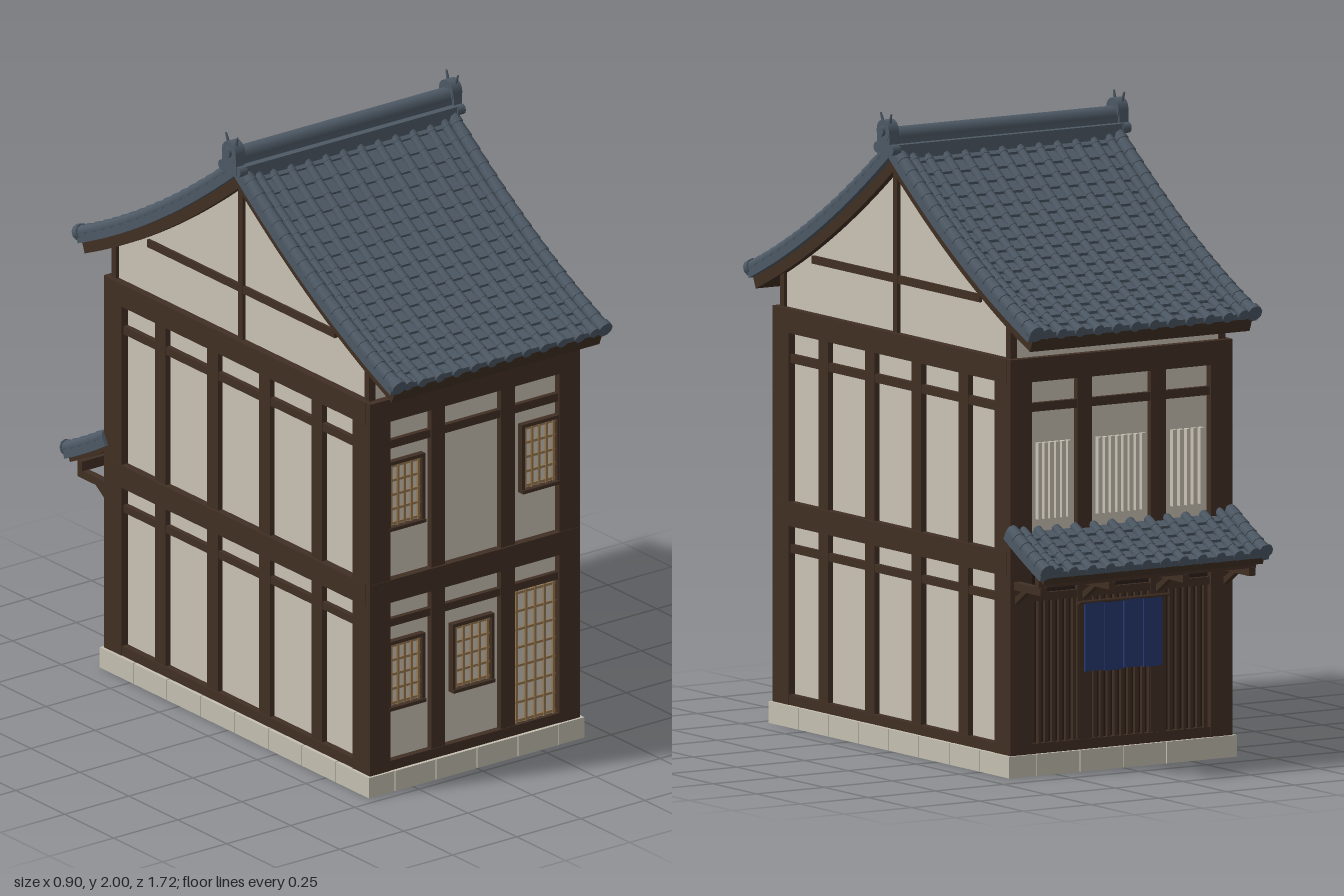
import * as THREE from 'three';
import { mergeGeometries } from 'three/addons/utils/BufferGeometryUtils.js';

const mat = (name, color) => {
  const m = new THREE.MeshStandardMaterial({ color });
  m.name = name;
  return m;
};
const plaster = mat('plaster', 0xc9c3b4), timber = mat('dark timber', 0x412f24), tile = mat('slate tile', 0x4d5965);
const lath = mat('tan lath', 0x97774f), stone = mat('stone', 0xc4bfb0), cloth = mat('indigo cloth', 0x26376e);
const paper = mat('paper', 0xcec8b9), boards = mat('shaded boards', 0x2c2019);

// box geometry from its limits
const bx = (x0, x1, y0, y1, z0, z1) => new THREE.BoxGeometry(x1 - x0, y1 - y0, Math.abs(z1 - z0))
  .translate((x0 + x1) / 2, (y0 + y1) / 2, (z0 + z1) / 2);
function add(parent, name, material, geos) {
  const list = [].concat(geos).map(g => (g.index ? g.toNonIndexed() : g));
  const m = new THREE.Mesh(list.length > 1 ? mergeGeometries(list) : list[0], material);
  m.name = name;
  parent.add(m);
  return m;
}
// outline in the z-y plane, extruded across x and centred
function across(points, width) {
  const g = new THREE.ExtrudeGeometry(new THREE.Shape(points), { depth: width, bevelEnabled: false });
  return g.translate(0, 0, -width / 2).rotateY(-Math.PI / 2);
}
// cylinder between two points
function rod(a, b, ra, rb, sides = 8) {
  const d = b.clone().sub(a);
  const g = new THREE.CylinderGeometry(rb, ra, d.length(), sides);
  g.applyQuaternion(new THREE.Quaternion().setFromUnitVectors(new THREE.Vector3(0, 1, 0), d.normalize()));
  return g.translate((a.x + b.x) / 2, (a.y + b.y) / 2, (a.z + b.z) / 2);
}
// sagging roof line; at(t, d) gives a point d above the deck
function roofLine(z0, z1, y0, m, b) {
  return (t, d) => {
    const w = t * (z1 - z0), s = m + 2 * b * w, n = Math.hypot(s, 1);
    return new THREE.Vector2(z0 + w - s / n * d, y0 + m * w + b * w * w + d / n);
  };
}
const range = (n, f) => Array.from({ length: n }, (_, i) => f(i));

// one tiled slope: timber deck, stepped pans, rows of round cover tiles
function roofSlope(at, rows, deckDepth) {
  const g = new THREE.Group();
  const ts = range(rows + 1, i => i / rows);
  add(g, 'roofDeck', timber, across([...ts.map(t => at(t, 0.004)), ...ts.slice().reverse().map(t => at(t, -deckDepth))].reverse(), 0.81));
  const top = [];
  for (let i = 0; i < rows; i++) top.push(at(i / rows, 0.014), at((i + 1) / rows - 0.001, 0.024));
  add(g, 'panTiles', tile, across([...top, ...ts.slice().reverse().map(t => at(t, 0))].reverse(), 0.825));
  const rolls = [];
  const roll = (x, r, d) => {
    for (let i = 0; i < rows; i++) {
      const a = at(i / rows, d), b = at((i + 1) / rows + (i === rows - 1 ? 0.008 : 0), d);
      rolls.push(rod(new THREE.Vector3(x, a.y, a.x), new THREE.Vector3(x, b.y, b.x), r * 0.86, r));
    }
    // round end cap at the eave
    const a = at(0.985, d), b = at(1.012, d);
    rolls.push(rod(new THREE.Vector3(x, a.y, a.x), new THREE.Vector3(x, b.y, b.x), r * 1.15, r * 1.15, 10));
  };
  range(10, i => roll(-0.306 + i * 0.068, 0.016, 0.022));
  for (const s of [-1, 1]) {
    roll(s * 0.362, 0.016, 0.026);
    roll(s * 0.402, 0.023, 0.028);
    rolls.push(across([...ts.map(t => at(t, 0.028)), ...ts.slice().reverse().map(t => at(t, -0.004))].reverse(), 0.02).translate(s * 0.412, 0, 0));
  }
  add(g, 'coverTiles', tile, rolls);
  return g;
}
// framed lattice panel on the front wall
function lattice(parent, name, x0, x1, y0, y1, cols, rows, frame) {
  const g = new THREE.Group();
  g.name = name;
  add(g, 'paperPane', paper, bx(x0, x1, y0, y1, 0.655, 0.661));
  const bars = [];
  for (let i = 0; i <= cols; i++) {
    const x = x0 + 0.008 + (x1 - x0 - 0.016) * i / cols;
    bars.push(bx(x - 0.004, x + 0.004, y0, y1, 0.66, 0.668));
  }
  for (let j = 0; j <= rows; j++) {
    const y = y0 + 0.008 + (y1 - y0 - 0.016) * j / rows;
    bars.push(bx(x0, x1, y - 0.004, y + 0.004, 0.66, 0.666));
  }
  add(g, 'latticeBars', lath, bars);
  if (frame) {
    const f = 0.011;
    add(g, 'frame', timber, [bx(x0 - f, x0, y0, y1, 0.65, 0.676), bx(x1, x1 + f, y0, y1, 0.65, 0.676),
      bx(x0 - f, x1 + f, y1, y1 + f, 0.65, 0.676), bx(x0 - f, x1 + f, y0 - f, y0, 0.65, 0.682)]);
  }
  parent.add(g);
}

export function createModel() {
  const house = new THREE.Group();
  house.name = 'townhouse';
  house.position.z = 0.03;
  const roofAt = roofLine(0, 0.8, 1.865, -0.78, 0.226);

  // stone plinth: open ring of blocks around a recessed core
  const blocks = [], core = [];
  for (const s of [-1, 1]) {
    range(8, i => blocks.push(bx(s * 0.37 - 0.05, s * 0.37 + 0.05, 0, 0.068, -0.69 + i * 0.1725 + 0.0015, -0.69 + (i + 1) * 0.1725 - 0.0015)));
    range(4, i => blocks.push(bx(-0.32 + i * 0.16 + 0.0015, -0.32 + (i + 1) * 0.16 - 0.0015, 0, 0.068, s * 0.64 - 0.05, s * 0.64 + 0.05)));
    core.push(bx(s * 0.37 - 0.045, s * 0.37 + 0.045, 0.004, 0.064, -0.685, 0.685), bx(-0.33, 0.33, 0.004, 0.064, s * 0.64 - 0.045, s * 0.64 + 0.045));
  }
  add(house, 'plinthBlocks', stone, blocks);
  add(house, 'plinthCore', stone, core);

  // floor and the joist seen from beneath
  add(house, 'floor', timber, bx(-0.38, 0.38, 0.085, 0.105, -0.65, 0.65));
  add(house, 'floorJoist', lath, bx(-0.06, 0.02, 0.05, 0.09, -0.6, 0.6));

  // plaster walls with curved gables
  const line = [];
  for (let i = 16; i >= 0; i--) line.push(roofAt(i / 20, -0.012));
  const right = [new THREE.Vector2(0.655, 0.1), new THREE.Vector2(0.655, roofAt(0.82, -0.012).y), ...line.filter(p => p.x < 0.65 && p.x > 0.01)];
  const left = right.map(p => new THREE.Vector2(-p.x, p.y)).reverse();
  add(house, 'plasterWalls', plaster, across([...right, ...left], 0.77));

  // timber frame: corners, sill, middle and top bands, thin rails
  const frame = [];
  for (const sx of [-1, 1]) for (const sz of [-1, 1])
    frame.push(bx(sx * 0.37 - 0.04, sx * 0.37 + 0.04, 0.068, 1.31, sz * 0.635 - 0.045, sz * 0.635 + 0.045));
  const bands = [[0.068, 0.1, 0.004], [0.63, 0.705, 0], [1.235, 1.31, 0], [0.545, 0.57, 0.01], [1.14, 1.167, 0.01]];
  for (const [y0, y1, inset] of bands) for (const s of [-1, 1]) {
    const bandX = s * (0.412 - inset), bandZ = s * (0.682 - inset);
    frame.push(bx(bandX - (s > 0 ? 0.05 : 0), bandX + (s > 0 ? 0 : 0.05), y0, y1, -0.66, 0.66));
    frame.push(bx(-0.405, 0.405, y0, y1, bandZ - s * 0.05, bandZ));
  }
  for (const s of [-1, 1]) {
    for (const z of [-0.4, -0.133, 0.133, 0.4]) frame.push(bx(s * 0.385 - 0.019, s * 0.385 + 0.019, 0.08, 1.25, z - 0.027, z + 0.027));
    for (const x of [-0.14, 0.132]) frame.push(bx(x - 0.027, x + 0.027, 0.08, 1.25, s * 0.65 - 0.025, s * 0.65 + 0.025));
    // gable: king post, tie and short corner struts
    frame.push(bx(s * 0.385 - 0.012, s * 0.385 + 0.012, 1.3, 1.83, -0.012, 0.012));
    frame.push(bx(s * 0.385 - 0.01, s * 0.385 + 0.01, 1.465, 1.49, -0.48, 0.48));
    for (const z of [-0.647, 0.647]) frame.push(bx(s * 0.385 - 0.012, s * 0.385 + 0.012, 1.3, 1.425, z - 0.012, z + 0.012));
  }
  add(house, 'timberFrame', timber, frame);

  // main roof, both slopes
  for (const turn of [0, Math.PI]) {
    const slope = roofSlope(roofAt, 18, 0.04);
    slope.name = turn ? 'backRoof' : 'frontRoof';
    slope.rotation.y = turn;
    house.add(slope);
  }

  // ridge with end ornaments
  const V = (x, y, z) => new THREE.Vector3(x, y, z);
  add(house, 'ridge', tile, [bx(-0.415, 0.415, 1.86, 1.905, -0.05, 0.05), bx(-0.41, 0.41, 1.9, 1.932, -0.026, 0.026),
    rod(V(-0.42, 1.928, 0), V(0.42, 1.928, 0), 0.028, 0.028, 12)]);
  for (const s of [-1, 1]) {
    const parts = [bx(s * 0.425 - 0.016, s * 0.425 + 0.016, 1.875, 1.945, -0.036, 0.036), rod(V(s * 0.405, 1.945, 0), V(s * 0.442, 1.945, 0), 0.036, 0.036, 14),
      rod(V(s * 0.44, 1.945, 0), V(s * 0.452, 1.945, 0), 0.016, 0.016, 10)];
    for (const k of [-1, 1]) {
      parts.push(rod(V(s * 0.428, 1.965, k * 0.018), V(s * 0.43, 2.0, k * 0.03), 0.006, 0.003, 6));
      parts.push(rod(V(s * 0.41, 1.89, k * 0.04), V(s * 0.44, 1.89, k * 0.04), 0.017, 0.017, 10));
    }
    add(house, 'ridgeOrnament', tile, parts);
  }

  // front windows and lattice door
  lattice(house, 'upperLeftWindow', 0.197, 0.325, 0.877, 1.084, 4, 4, true);
  lattice(house, 'upperRightWindow', -0.325, -0.202, 0.877, 1.084, 4, 4, true);
  lattice(house, 'lowerRightWindow', -0.325, -0.202, 0.277, 0.484, 4, 4, true);
  lattice(house, 'lowerMiddleWindow', -0.073, 0.068, 0.277, 0.484, 4, 4, true);
  lattice(house, 'latticeDoor', 0.165, 0.325, 0.1, 0.542, 4, 7, false);

  // back, ground floor: dark boards behind vertical slats
  add(house, 'shopBoards', boards, bx(-0.33, 0.33, 0.1, 0.63, -0.66, -0.65));
  add(house, 'shopSlats', timber, range(26, i => bx(-0.322 + i * 0.0255, -0.31 + i * 0.0255, 0.1, 0.55, -0.672, -0.655)));

  // back, upper floor: plaster slat windows
  const slats = [];
  for (const [x0, x1] of [[-0.31, -0.185], [-0.095, 0.088], [0.178, 0.31]]) {
    const n = Math.round((x1 - x0) / 0.024);
    range(n, i => slats.push(bx(x0 + (x1 - x0) * i / n, x0 + (x1 - x0) * i / n + 0.014, 0.8, 1.04, -0.672, -0.65)));
  }
  add(house, 'plasterSlats', plaster, slats);

  // back awning with brackets
  const awning = roofSlope(roofLine(0.66, 0.868, 0.752, -0.58, 0.3), 5, 0.018);
  awning.name = 'awning';
  awning.rotation.y = Math.PI;
  house.add(awning);
  const brackets = [bx(-0.4, 0.4, 0.612, 0.645, -0.828, -0.805)];
  for (const x of [-0.385, -0.14, 0.132, 0.385]) {
    brackets.push(bx(x - 0.012, x + 0.012, 0.588, 0.613, -0.832, -0.66));
    brackets.push(across([[-0.66, 0.53], [-0.66, 0.555], [-0.74, 0.6], [-0.765, 0.6]].map(p => new THREE.Vector2(...p)).reverse(), 0.018).translate(x, 0, 0));
  }
  add(house, 'awningBrackets', timber, brackets);

  // doorway curtain in four strips on a pole
  add(house, 'curtain', cloth, range(4, i => bx(-0.145 + i * 0.0725 + 0.002, -0.0725 + i * 0.0725 - 0.002, 0.31 + (i % 2) * 0.004, 0.53, -0.692 - (i % 2) * 0.003, -0.686)));
  add(house, 'curtainPole', timber, rod(V(-0.165, 0.53, -0.69), V(0.165, 0.53, -0.69), 0.006, 0.006));

  const model = new THREE.Group();
  model.add(house);
  return model;
}
